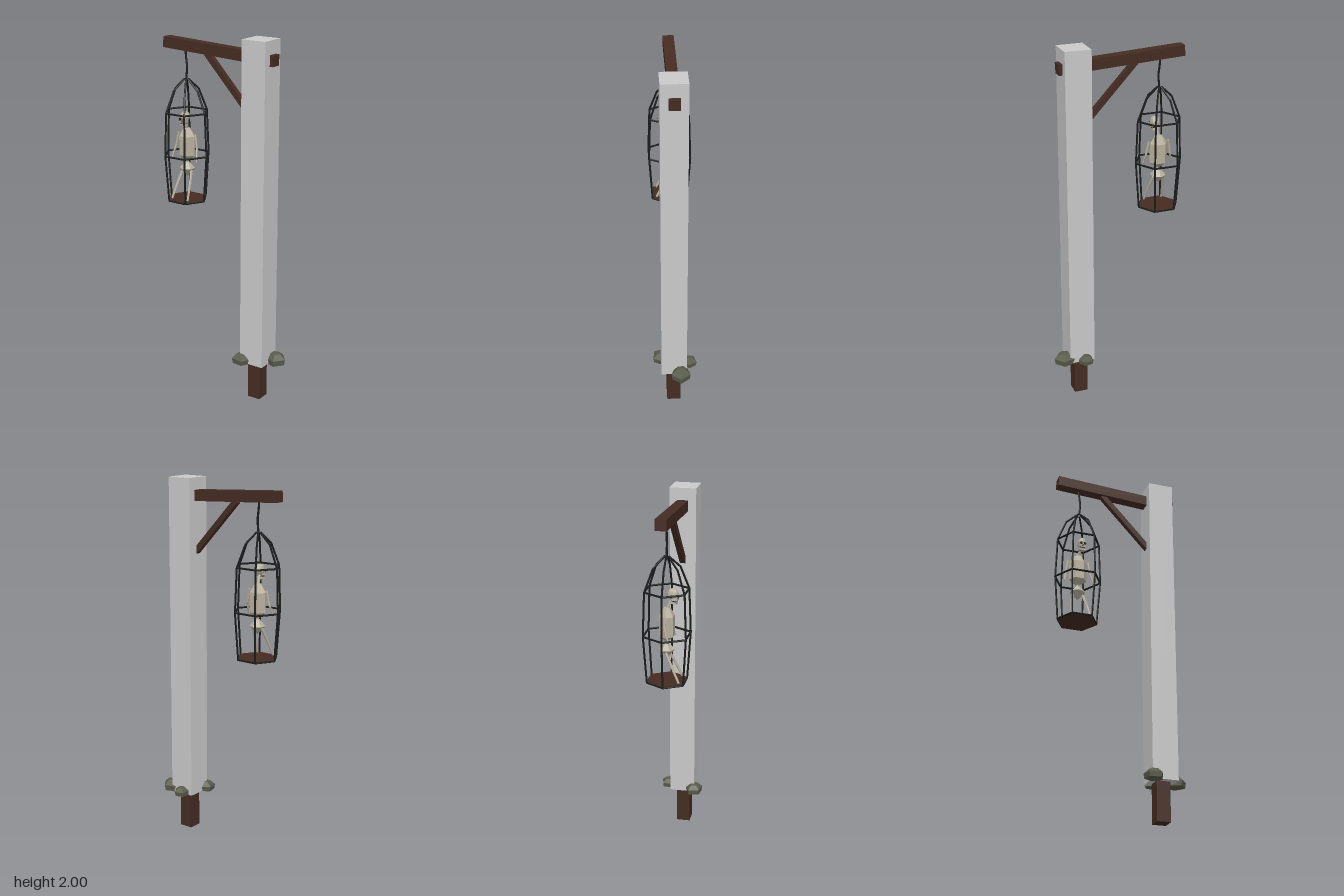
import * as THREE from 'three';

const mat = (name, color) => {
  const m = new THREE.MeshStandardMaterial({ color, flatShading: true });
  m.name = name;
  return m;
};

export function createModel() {
  const wood = mat('dark wood', 0x452c22);
  const plaster = mat('pale grey', 0xcacaca);
  const iron = mat('black iron', 0x1b1c1c);
  const bone = mat('old bone', 0xb9b09d);
  const stone = mat('mossy stone', 0x5a5c4b);
  const V = (x, y, z) => new THREE.Vector3(x, y, z);
  const model = new THREE.Group();
  model.name = 'gibbet';

  function add(parent, name, geo, material, x = 0, y = 0, z = 0) {
    const m = new THREE.Mesh(geo, material);
    m.name = name;
    m.position.set(x, y, z);
    parent.add(m);
    return m;
  }
  // Straight bar between two points
  function rod(parent, name, a, b, r0, r1, material, sides = 6) {
    const d = b.clone().sub(a);
    const m = add(parent, name, new THREE.CylinderGeometry(r1, r0, d.length(), sides), material);
    m.position.copy(a).addScaledVector(d, 0.5);
    m.quaternion.setFromUnitVectors(V(0, 1, 0), d.normalize());
    return m;
  }
  const lathe = (pts, sides) =>
    new THREE.LatheGeometry(pts.map(p => new THREE.Vector2(...p)), sides);

  // Post: wooden core in a pale square casing
  add(model, 'postCore', new THREE.BoxGeometry(0.075, 1.98, 0.075), wood, 0.225, 0.99, 0.005);
  add(model, 'postCasing', new THREE.BoxGeometry(0.142, 1.785, 0.142), plaster, 0.226, 1.1075, 0.005);

  // Crossbeam, tilted slightly, and diagonal brace
  const beam = add(model, 'crossbeam', new THREE.BoxGeometry(0.692, 0.058, 0.058), wood, -0.029, 1.916, 0.004);
  beam.rotation.z = -0.053;
  const brace = add(model, 'brace', new THREE.BoxGeometry(0.43, 0.03, 0.03), wood, 0.04, 1.738, 0.004);
  brace.rotation.z = -0.82;

  // Stones around the foot: x, y, z, size x, height, size z, turn
  [
    [0.163, 0.213, 0.072, 0.056, 0.055, 0.052, 0.5],
    [0.318, 0.21, -0.032, 0.062, 0.064, 0.056, Math.PI / 2],
    [0.212, 0.215, -0.086, 0.043, 0.048, 0.042, 0.25],
  ].forEach(([x, y, z, sx, h, sz, turn]) => {
    const geo = lathe([[0, 0], [0.92, 0], [1, 0.5], [0.5, 0.92], [0, 1]], 5);
    geo.rotateY(turn);
    geo.scale(sx, h, sz);
    add(model, 'stone', geo, stone, x, y, z);
  });

  // Hanging cage
  const cage = new THREE.Group();
  cage.name = 'cage';
  cage.position.set(-0.245, 0, 0.005);
  model.add(cage);
  const hook = new THREE.CatmullRomCurve3([
    V(-0.004, 1.925, 0), V(0, 1.86, 0), V(0.006, 1.81, 0), V(0.003, 1.77, 0), V(0, 1.742, 0)]);
  add(cage, 'hook', new THREE.TubeGeometry(hook, 10, 0.006, 5), iron);

  const levels = [[0.11, 1.075], [0.129, 1.33], [0.12, 1.566], [0.073, 1.685], [0.012, 1.743]];
  const corner = ([r, y], i) => V(r * Math.cos(i * Math.PI / 3), y, r * Math.sin(i * Math.PI / 3));
  for (let i = 0; i < 6; i++) {
    for (let k = 0; k < 4; k++)
      rod(cage, 'cageBar', corner(levels[k], i), corner(levels[k + 1], i), 0.0055, 0.0055, iron, 5);
    for (let k = 0; k < 3; k++)
      rod(cage, 'cageRing', corner(levels[k], i), corner(levels[k], i + 1), 0.0055, 0.0055, iron, 5);
  }
  const floor = new THREE.CylinderGeometry(0.11, 0.11, 0.012, 6);
  floor.rotateY(Math.PI / 6);
  add(cage, 'cageFloor', floor, wood, 0, 1.076, 0);

  // Skeleton
  const skeleton = new THREE.Group();
  skeleton.name = 'skeleton';
  cage.add(skeleton);
  const ribs = lathe([[0, 1.29], [0.05, 1.325], [0.05, 1.432], [0.02, 1.476], [0, 1.476]], 6);
  ribs.rotateY(Math.PI / 6);
  ribs.scale(1, 1, 0.85);
  add(skeleton, 'ribcage', ribs, bone);
  add(skeleton, 'pelvis', lathe([[0, 1.205], [0.043, 1.25], [0.012, 1.286], [0, 1.286]], 6), bone);
  rod(skeleton, 'spine', V(0, 1.25, 0), V(0, 1.32, 0), 0.008, 0.008, bone);
  rod(skeleton, 'neck', V(0, 1.46, 0), V(0.008, 1.53, 0.025), 0.008, 0.008, bone);
  for (const s of [-1, 1]) {
    rod(skeleton, 'upperArm', V(s * 0.056, 1.445, 0), V(s * 0.07, 1.37, 0.005), 0.006, 0.006, bone);
    rod(skeleton, 'forearm', V(s * 0.07, 1.37, 0.005), V(s * 0.083, 1.3, 0.03), 0.006, 0.004, bone);
    rod(skeleton, 'thigh', V(s * 0.028, 1.24, 0), V(s * 0.042, 1.165, 0.035), 0.008, 0.007, bone);
    rod(skeleton, 'shin', V(s * 0.042, 1.165, 0.035), V(s * 0.052, 1.085, 0.072), 0.007, 0.006, bone);
  }

  // Skull bowed forward, with sockets and jaw
  const skull = new THREE.Group();
  skull.name = 'skull';
  skull.position.set(0.011, 1.545, 0.03);
  skull.rotation.set(0.15, 0, -0.06);
  skeleton.add(skull);
  const dome = new THREE.SphereGeometry(1, 8, 6);
  dome.scale(0.026, 0.031, 0.031);
  add(skull, 'cranium', dome, bone);
  add(skull, 'cheeks', new THREE.BoxGeometry(0.036, 0.024, 0.03), bone, 0, -0.018, 0.014);
  add(skull, 'jaw', new THREE.BoxGeometry(0.034, 0.012, 0.03), bone, 0, -0.042, 0.013);
  add(skull, 'mouth', new THREE.BoxGeometry(0.028, 0.008, 0.024), iron, 0, -0.033, 0.013);
  for (const s of [-1, 1])
    add(skull, 'eyeSocket', new THREE.BoxGeometry(0.013, 0.013, 0.008), iron, s * 0.011, -0.008, 0.028);
  add(skull, 'noseHole', new THREE.BoxGeometry(0.006, 0.008, 0.004), iron, 0, -0.021, 0.029);

  return model;
}
